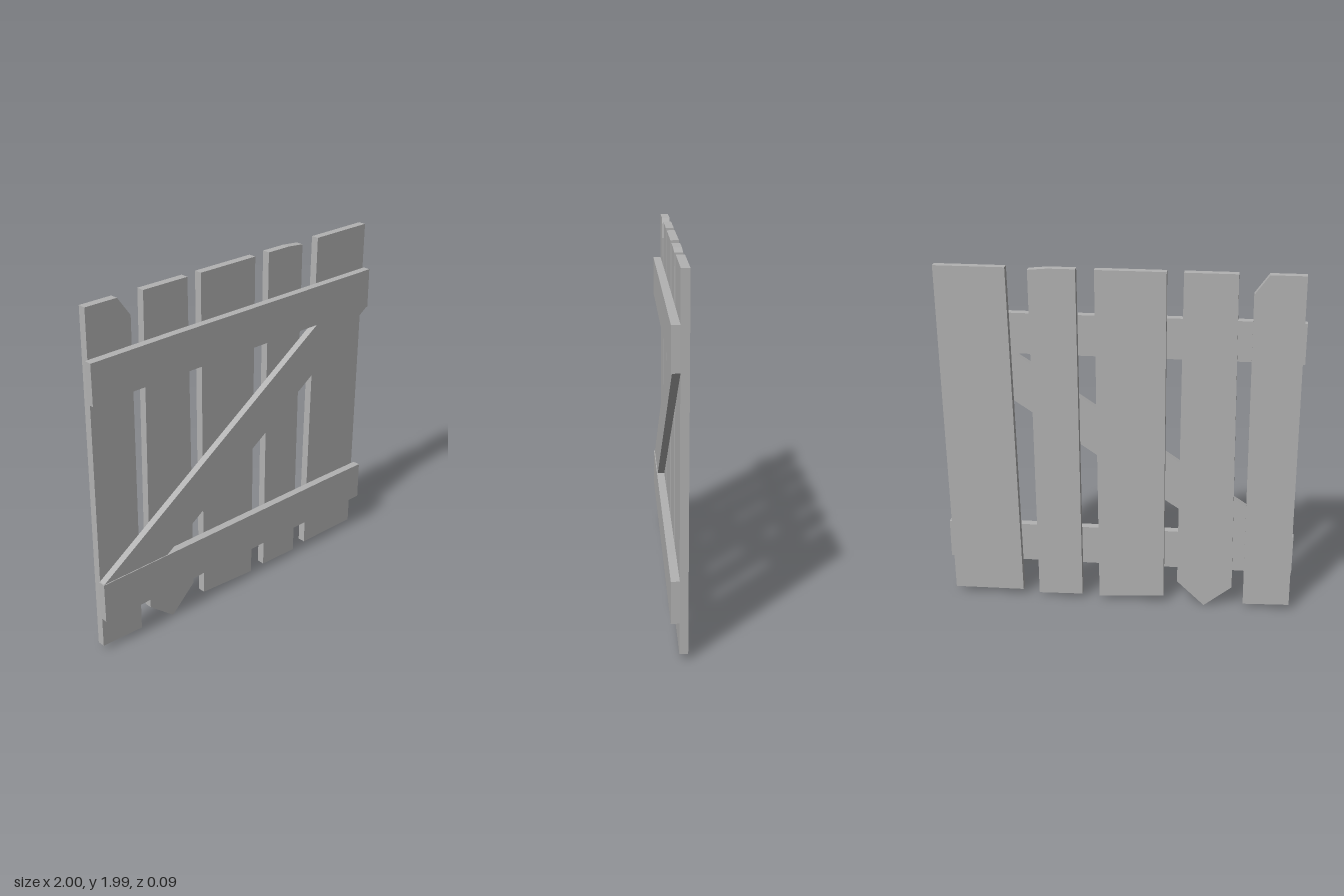
import * as THREE from 'three';

const THICK = 0.045;

export function createModel() {
  const gate = new THREE.Group();
  gate.name = 'plankGate';
  const wood = new THREE.MeshStandardMaterial({ name: 'plain grey wood', color: 0xb2b2b2 });

  // Board cut from an outline (counter-clockwise) and extruded forward from z
  const board = (name, outline, z, depth) => {
    const shape = new THREE.Shape(outline.map(([x, y]) => new THREE.Vector2(x, y)));
    const geometry = new THREE.ExtrudeGeometry(shape, { depth, bevelEnabled: false });
    const mesh = new THREE.Mesh(geometry, wood);
    mesh.name = name;
    mesh.position.z = z;
    gate.add(mesh);
  };

  // Upright planks, each slightly crooked, some with broken or pointed ends
  const planks = [
    [[-0.995, 0.035], [-0.73, 0.025], [-0.712, 1.885], [-0.79, 1.993], [-0.982, 1.993]],
    [[-0.662, 0.13], [-0.503, 0], [-0.345, 0.15], [-0.345, 1.993], [-0.63, 1.993]],
    [[-0.267, 0.048], [0.11, 0.022], [0.127, 1.993], [-0.255, 1.993]],
    [[0.211, 0.03], [0.468, 0.022], [0.483, 1.983], [0.375, 1.993], [0.227, 1.993]],
    [[0.564, 0.038], [0.97, 0.032], [0.994, 1.993], [0.604, 1.993]],
  ];
  planks.forEach((outline, i) => board(`uprightPlank${i + 1}`, outline, -THICK, THICK));

  // Cross rails
  board('topRail', [[-1, 1.495], [-0.8, 1.5], [1, 1.5], [1, 1.731], [-0.44, 1.729], [-1, 1.724]], 0, THICK);
  board('bottomRail', [[-1, 0.222], [-0.77, 0.219], [1, 0.216], [1, 0.444], [0.68, 0.449], [-1, 0.453]], 0, THICK);

  // Diagonal brace, a little thinner than the rails
  board('diagonalBrace', [[-0.995, 0.452], [-0.565, 0.45], [1, 1.5], [0.58, 1.5]], 0, 0.04);

  return gate;
}
